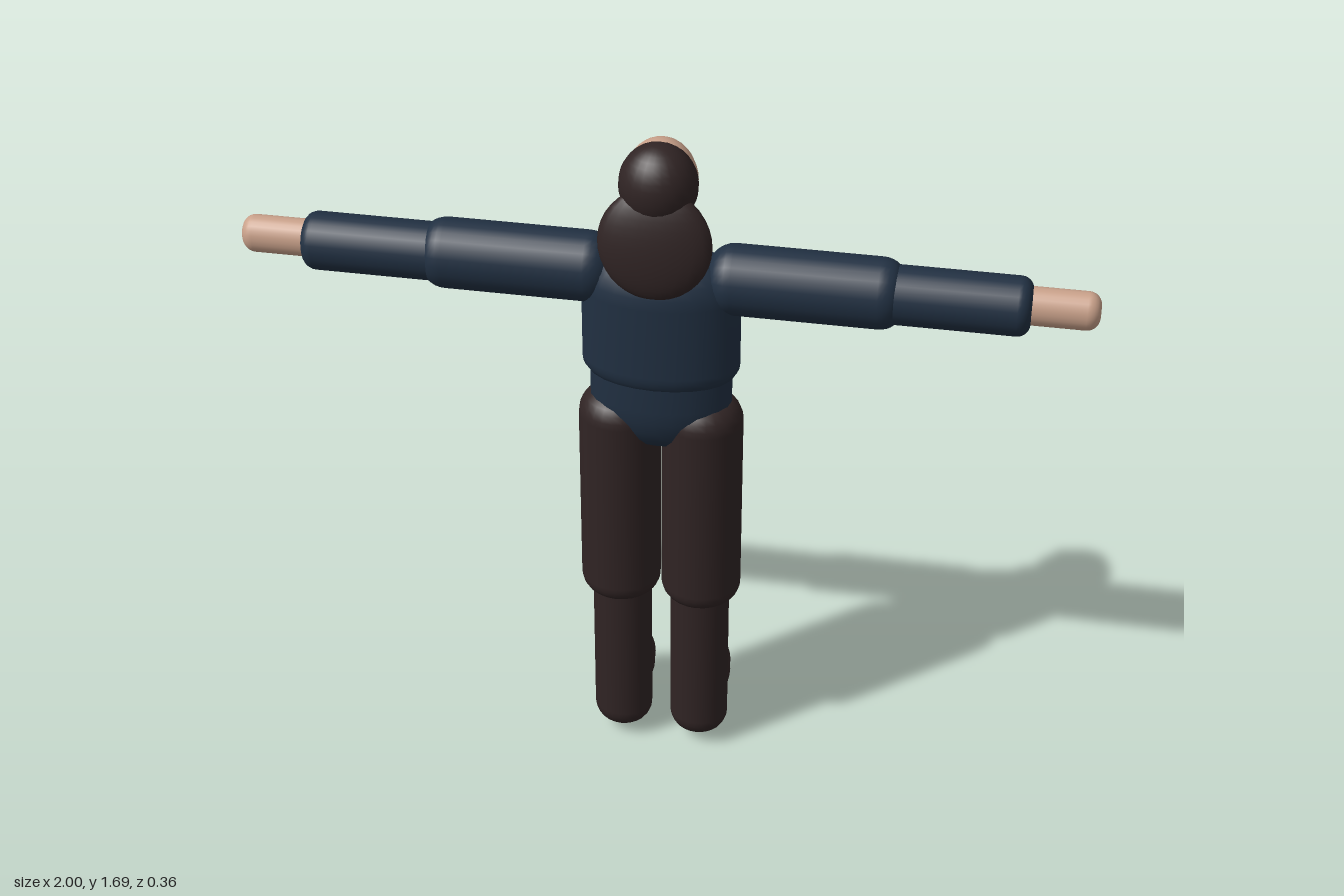
import * as THREE from 'three';

const mat = (name, color) => {
  const m = new THREE.MeshStandardMaterial({ color });
  m.name = name;
  return m;
};

export function createModel() {
  const model = new THREE.Group();
  model.name = 'figure';
  const skin = mat('skin', 0xc9a18a);
  const navy = mat('navy cloth', 0x213042);
  const brown = mat('dark brown', 0x302424);
  const black = mat('black', 0x1a1414);
  const Z = 0.057; // depth of the body axis

  const add = (name, geo, material, x, y, z) => {
    const m = new THREE.Mesh(geo, material);
    m.name = name;
    m.position.set(x, y, z);
    model.add(m);
    return m;
  };

  // Upright round bar from y0 to y1 with rounded ends (width b, height h)
  const bar = (y0, y1, rx, rz, [b0, h0], [b1, h1]) => {
    const pts = [new THREE.Vector2(0, y0)];
    for (let i = 0; i <= 6; i++) {
      const a = (i / 6) * Math.PI / 2;
      pts.push(new THREE.Vector2(rx - b0 + b0 * Math.sin(a) + 1e-5, y0 + h0 * (1 - Math.cos(a))));
    }
    for (let i = 0; i <= 6; i++) {
      const a = (i / 6) * Math.PI / 2;
      pts.push(new THREE.Vector2(rx - b1 + b1 * Math.cos(a) + 1e-5, y1 - h1 * (1 - Math.sin(a))));
    }
    pts.push(new THREE.Vector2(0, y1));
    return new THREE.LatheGeometry(pts, 24).scale(1, 1, rz / rx);
  };
  const ball = (rx, ry, rz) => new THREE.SphereGeometry(1, 24, 18).scale(rx, ry, rz);

  // Torso
  add('chest', bar(1.08, 1.42, 0.188, 0.108, [0.05, 0.05], [0.13, 0.11]), navy, 0, 0, Z);
  add('hips', bar(0.9, 1.15, 0.17, 0.099, [0.13, 0.13], [0.03, 0.03]), navy, 0, 0, Z);

  // Head, neck and hair
  add('neck', bar(1.34, 1.505, 0.085, 0.083, [0.06, 0.05], [0.07, 0.075]), skin, 0, 0, Z);
  const head = [0.085, 0.103, 0.087], headY = 1.59;
  add('head', ball(...head), skin, 0, headY, 0.055);
  add('hairCap', ball(0.091, 0.099, 0.081), brown, 0, 1.597, 0.085);
  const tail = add('hairTail', ball(0.132, 0.135, 0.043), brown, 0, 1.47, 0.133);
  tail.rotation.x = -0.13;

  // Face, drawn on the -z side of the head
  const onFace = (x, y, lift = 0.001) => {
    const dy = y - headY;
    const k = Math.sqrt(1 - (x / head[0]) ** 2 - (dy / head[1]) ** 2);
    return new THREE.Vector3(x, y, 0.055 - head[2] * k - lift);
  };
  const line = (name, pts, r) => {
    const curve = new THREE.CatmullRomCurve3(pts.map(p => onFace(...p)));
    add(name, new THREE.TubeGeometry(curve, 10, r, 6), black, 0, 0, 0);
  };
  line('mouth', [[-0.024, 1.553], [0, 1.548], [0.024, 1.553]], 0.0025);
  add('nose', ball(0.008, 0.012, 0.008), skin, 0, 1.578, -0.031);

  for (const s of [-1, 1]) {
    const side = s > 0 ? 'left' : 'right';
    const p = onFace(s * 0.033, 1.597);
    add(side + 'Eye', ball(0.009, 0.006, 0.004), black, p.x, p.y, p.z);
    line(side + 'Lashes', [[s * 0.02, 1.602], [s * 0.034, 1.607, 0.004], [s * 0.05, 1.602, 0.007]], 0.002);
    line(side + 'Brow', [[s * 0.018, 1.617], [s * 0.034, 1.623], [s * 0.05, 1.616]], 0.002);

    // Arms, stretched out sideways
    const armPart = (name, x0, x1, ry, rz, inner, outer) => {
      const geo = bar(x0, x1, ry, rz, inner, outer);
      geo.rotateZ(-s * Math.PI / 2);
      add(side + name, geo, navy, 0, 1.355, Z);
    };
    armPart('UpperArm', 0.11, 0.55, 0.085, 0.077, [0.06, 0.06], [0.03, 0.045]);
    armPart('Forearm', 0.49, 0.847, 0.07, 0.066, [0.03, 0.03], [0.03, 0.03]);
    const hand = bar(0.79, 1.0, 0.046, 0.04, [0.02, 0.02], [0.032, 0.03]);
    add(side + 'Hand', hand.rotateZ(-s * Math.PI / 2), skin, 0, 1.355, 0.05);

    // Legs
    add(side + 'Thigh', bar(0.455, 1.032, 0.098, 0.095, [0.035, 0.045], [0.06, 0.065]), brown, s * 0.1, 0, Z);
    add(side + 'Shin', bar(0.03, 0.52, 0.073, 0.068, [0.05, 0.055], [0.03, 0.03]), brown, s * 0.0975, 0, Z);

    // Feet, pointing to -z
    const foot = bar(-0.05, 0.13, 0.052, 0.073, [0.03, 0.03], [0.02, 0.025]);
    const footMesh = add(side + 'Foot', foot.rotateX(-Math.PI / 2), brown, s * 0.1, 0.092, 0);
    footMesh.rotation.x = -0.06;
    const toe = bar(0.08, 0.178, 0.046, 0.076, [0.02, 0.02], [0.026, 0.035]);
    add(side + 'Toe', toe.rotateX(-Math.PI / 2), brown, s * 0.1, 0.082, 0);
  }
  return model;
}
